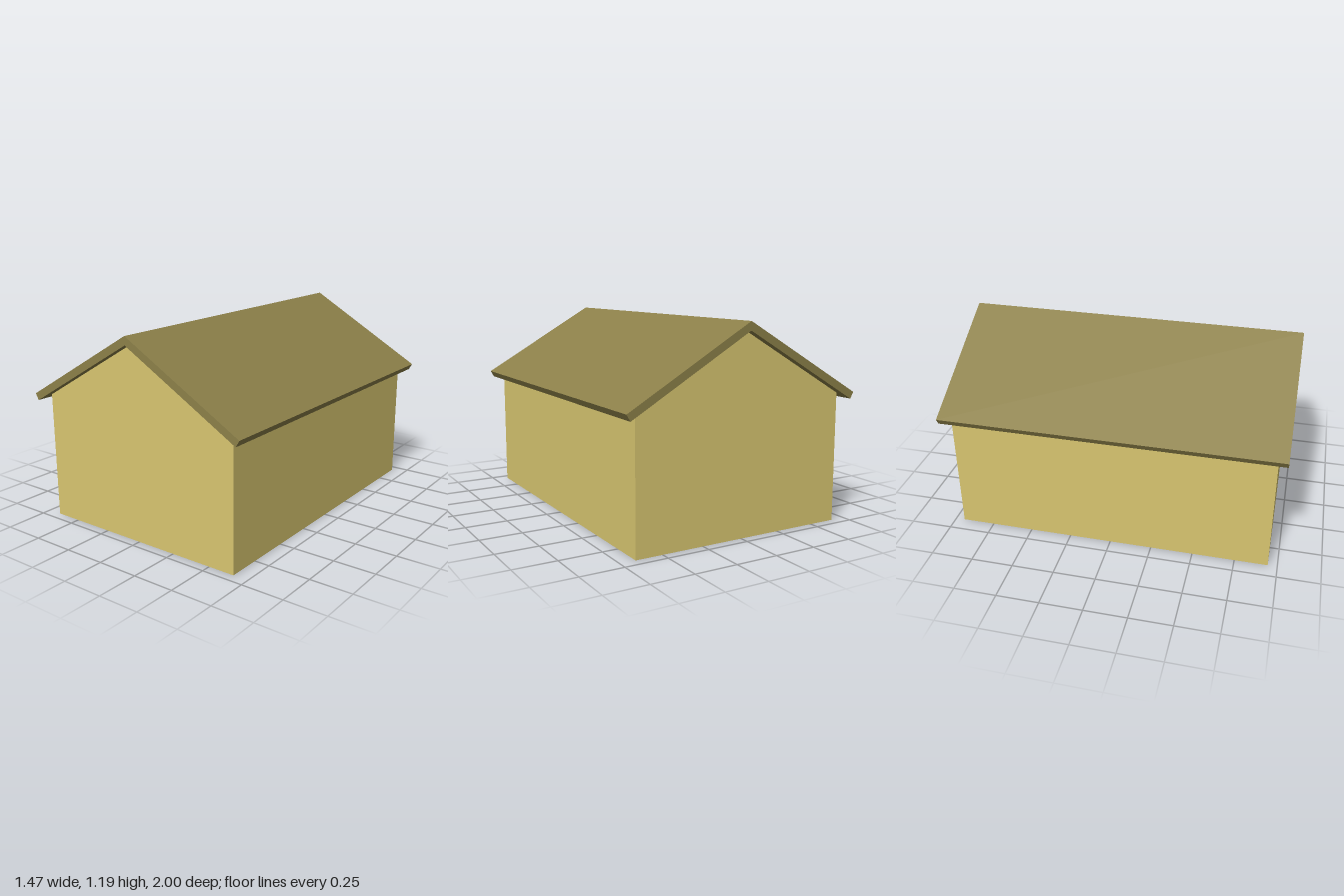
import * as THREE from 'three';

const HALF_W = 0.66;    // wall half width
const HALF_L = 0.945;   // wall half length
const APEX = 1.14;      // underside of the ridge
const SLOPE = Math.tan(Math.PI / 6);
const WALL_H = APEX - HALF_W * SLOPE;

export function createModel() {
  const group = new THREE.Group();
  const wallMat = new THREE.MeshStandardMaterial({ color: 0xd8c670, side: THREE.DoubleSide });
  const roofMat = new THREE.MeshStandardMaterial({ color: 0x8c8049, flatShading: true });
  const floorMat = new THREE.MeshStandardMaterial({ color: 0x808080, side: THREE.DoubleSide });

  const add = (name, geometry, material) => {
    const mesh = new THREE.Mesh(geometry, material);
    mesh.name = name;
    group.add(mesh);
    return mesh;
  };
  const shape = (points) => new THREE.Shape(points.map(([x, y]) => new THREE.Vector2(x, y)));

  // Thin gable and side walls
  const gable = new THREE.ShapeGeometry(shape([
    [-HALF_W, 0], [HALF_W, 0], [HALF_W, WALL_H], [0, APEX], [-HALF_W, WALL_H],
  ]));
  const side = new THREE.PlaneGeometry(HALF_L * 2, WALL_H);
  for (const s of [1, -1]) {
    const end = add(s > 0 ? 'frontGableWall' : 'backGableWall', gable, wallMat);
    end.position.z = s * HALF_L;
    if (s < 0) end.rotation.y = Math.PI;

    const wall = add(s > 0 ? 'leftWall' : 'rightWall', side, wallMat);
    wall.position.set(s * HALF_W, WALL_H / 2, 0);
    wall.rotation.y = s * Math.PI / 2;
  }

  // Floor, set just above the lower edge of the walls
  const floor = add('floor', new THREE.PlaneGeometry(HALF_W * 2, HALF_L * 2), floorMat);
  floor.rotation.x = Math.PI / 2;
  floor.position.y = 0.02;

  // Roof: two overhanging slabs mitred at the ridge, eaves cut square
  for (const s of [1, -1]) {
    const slab = shape([
      [0, APEX], [s * 0.715, APEX - 0.715 * SLOPE], [s * 0.737, 1.19 - 0.737 * SLOPE], [0, 1.19],
    ]);
    const roof = add(s > 0 ? 'leftRoofSlab' : 'rightRoofSlab',
      new THREE.ExtrudeGeometry(slab, { depth: 2, bevelEnabled: false }), roofMat);
    roof.position.z = -1;
  }
  return group;
}
